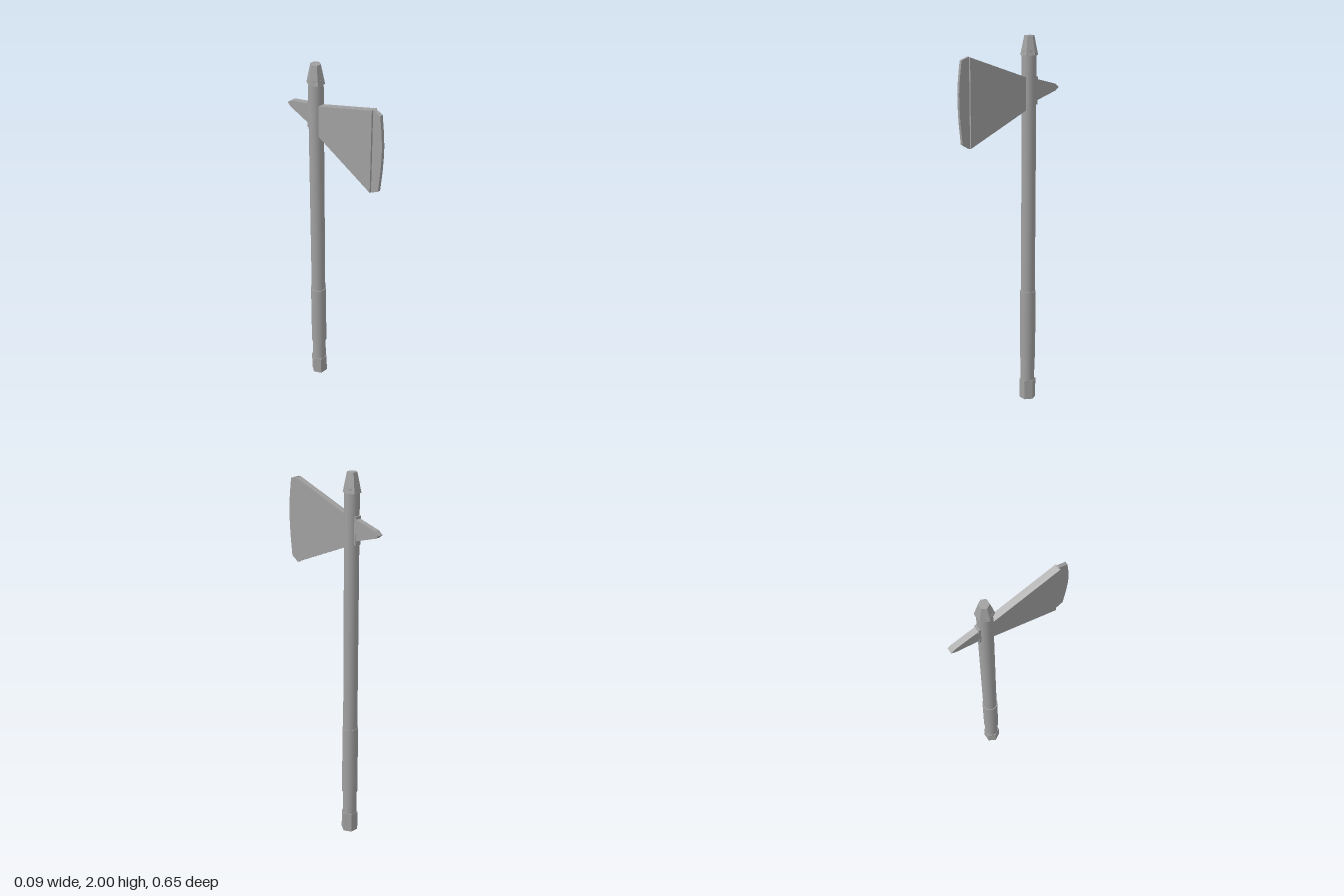
import * as THREE from 'three';

const AXIS_Z = -0.13; // the shaft stands behind the centre

export function createModel() {
  const group = new THREE.Group();
  const grey = new THREE.MeshStandardMaterial({ color: 0xa0a0a0 });
  const greyFlat = grey;

  const add = (name, geometry, material) => {
    const mesh = new THREE.Mesh(geometry, material);
    mesh.name = name;
    group.add(mesh);
    return mesh;
  };

  // Upright round or six-sided bar between two heights
  const bar = (name, rTop, rBottom, y0, y1, sides) => {
    let geometry = new THREE.CylinderGeometry(rTop, rBottom, y1 - y0, sides, 1, false, Math.PI / 6);
    if (sides === 6) {
      geometry = geometry.toNonIndexed();
      geometry.computeVertexNormals();
    }
    add(name, geometry, greyFlat).position.set(0, (y0 + y1) / 2, AXIS_Z);
  };

  // Flat plate from a [z, y] outline, given a thickness along x
  const plate = (name, outline, thickness) => {
    const shape = new THREE.Shape(outline.map(([z, y]) => new THREE.Vector2(z, y)));
    const geometry = new THREE.ExtrudeGeometry(shape, { depth: thickness, bevelEnabled: false });
    geometry.translate(0, 0, -thickness / 2).rotateY(-Math.PI / 2);
    add(name, geometry, grey);
  };

  // Handle
  bar('shaft', 0.038, 0.038, 0.02, 1.925, 32);
  bar('grip', 0.042, 0.042, 0.24, 0.63, 32);
  bar('pommel', 0.045, 0.045, 0, 0.11, 6);
  bar('tip', 0.026, 0.047, 1.9, 2, 6);

  // Blade, passing through the shaft
  plate('blade', [
    [-0.175, 1.645], [-0.13, 1.645], [-0.09, 1.618], [0.262, 1.464],
    [0.262, 1.913], [-0.09, 1.793], [-0.175, 1.79],
  ], 0.034);

  // Thinner cutting edge with a shallow curve
  plate('cuttingEdge', [
    [0.258, 1.463], [0.265, 1.463], [0.307, 1.488], [0.319, 1.6], [0.324, 1.69],
    [0.324, 1.74], [0.319, 1.81], [0.307, 1.9], [0.265, 1.915], [0.258, 1.915],
  ], 0.016);

  // Back spike
  plate('backSpike', [
    [-0.13, 1.656], [-0.13, 1.787], [-0.17, 1.777], [-0.302, 1.742],
    [-0.324, 1.724], [-0.302, 1.707], [-0.17, 1.666],
  ], 0.03);

  return group;
}
